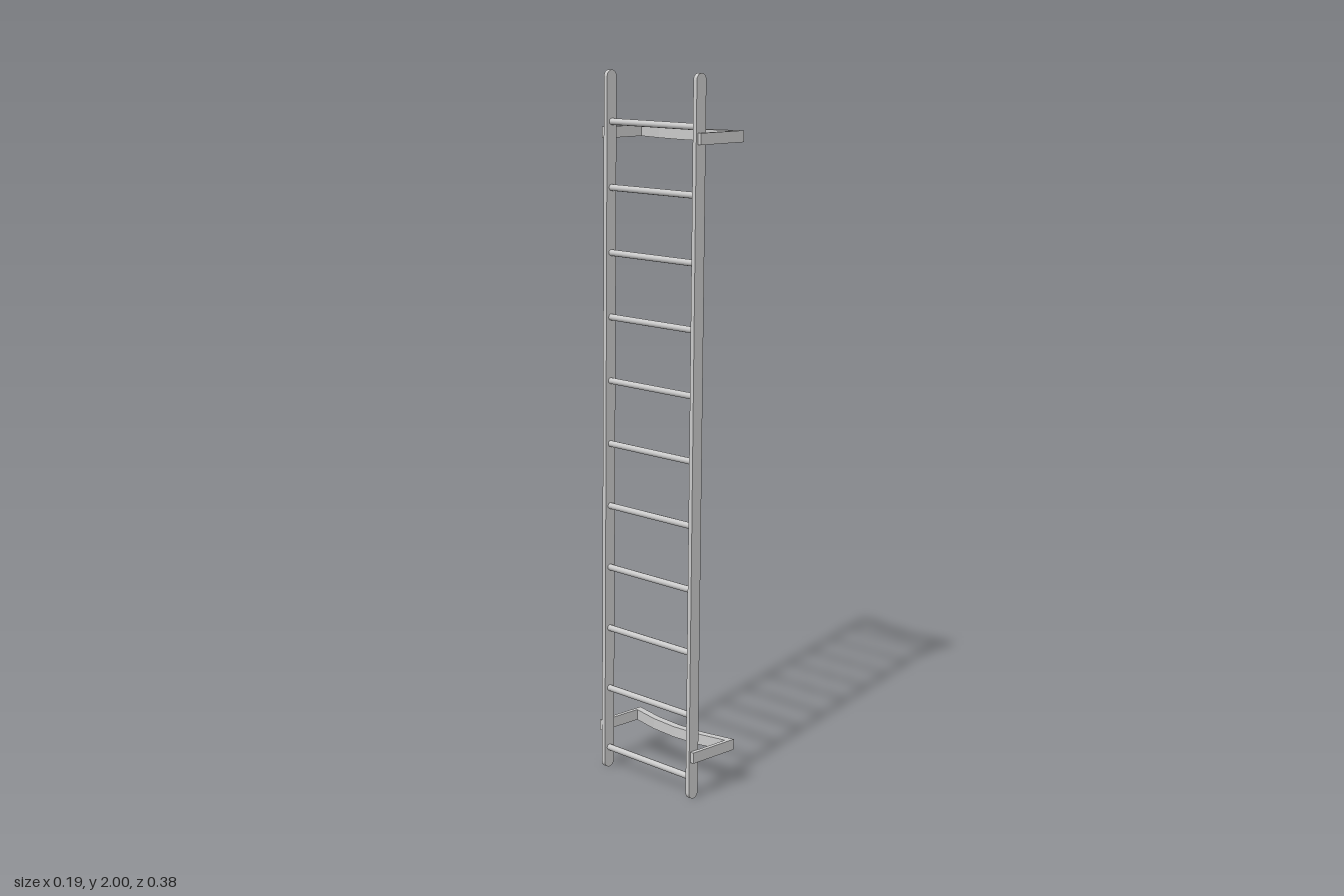
import * as THREE from 'three';

const material = new THREE.MeshStandardMaterial({ color: 0xcccccc, flatShading: true });
const smooth = new THREE.MeshStandardMaterial({ color: 0xcccccc });

const CENTRE_Z = -0.002;
const RAIL_Z = 0.173; // half distance between rail centres
const RAIL_THICK = 0.013;

// x of the leaning ladder plane at height y
const leanX = (y) => -0.078 + 0.0125 * y;

function addMesh(parent, geometry, name, mat = material) {
  const mesh = new THREE.Mesh(geometry, mat);
  mesh.name = name;
  parent.add(mesh);
  return mesh;
}

// Flat bar with rounded ends
function railGeometry() {
  const r = 0.0175, half = 1 - r;
  const shape = new THREE.Shape();
  shape.absarc(0, half, r, 0, Math.PI, false);
  shape.absarc(0, -half, r, Math.PI, Math.PI * 2, false);
  shape.closePath();
  const geometry = new THREE.ExtrudeGeometry(shape, { depth: RAIL_THICK, bevelEnabled: false, curveSegments: 5 });
  return geometry.translate(0, 0, -RAIL_THICK / 2);
}

// Wall bracket: two side arms joined by a bar that bows towards the ladder
function bracketGeometry() {
  const height = 0.031;
  const half = [
    [-0.068, 0.192], [0.093, 0.192], [0.072, 0.09], [0.066, 0],
  ];
  const inner = [
    [0.043, 0], [0.05, 0.09], [0.069, 0.18], [-0.068, 0.18],
  ];
  const mirror = (points) => points.filter((p) => p[1] > 0).map(([x, z]) => [x, -z]).reverse();
  const outline = [
    ...mirror(half).reverse(), ...half.slice().reverse(),
    ...inner.slice().reverse(), ...mirror(inner).reverse(),
  ];
  const shape = new THREE.Shape(outline.map(([x, z]) => new THREE.Vector2(x, z)));
  const geometry = new THREE.ExtrudeGeometry(shape, { depth: height, bevelEnabled: false });
  return geometry.rotateX(Math.PI / 2).translate(0, height / 2, 0);
}

export function createModel() {
  const model = new THREE.Group();
  model.name = 'ladder';

  // Leaning side rails
  const rail = railGeometry();
  for (const side of [-1, 1]) {
    const mesh = addMesh(model, rail, side > 0 ? 'frontRail' : 'backRail');
    mesh.position.set(leanX(1), 1, CENTRE_Z + side * RAIL_Z);
    mesh.rotation.z = -Math.atan(0.0125);
  }

  // Evenly spaced rungs
  const rung = new THREE.CylinderGeometry(0.009, 0.009, RAIL_Z * 2, 12).rotateX(Math.PI / 2);
  for (let i = 0; i < 11; i++) {
    const y = 0.06 + 0.18 * i;
    addMesh(model, rung, `rung${i + 1}`, smooth).position.set(leanX(y), y, CENTRE_Z);
  }

  // Lower and upper brackets follow the lean
  const bracket = bracketGeometry();
  addMesh(model, bracket, 'lowerBracket').position.set(-0.023, 0.125, -0.001);
  addMesh(model, bracket, 'upperBracket').position.set(0, 1.83, -0.001);

  return model;
}
